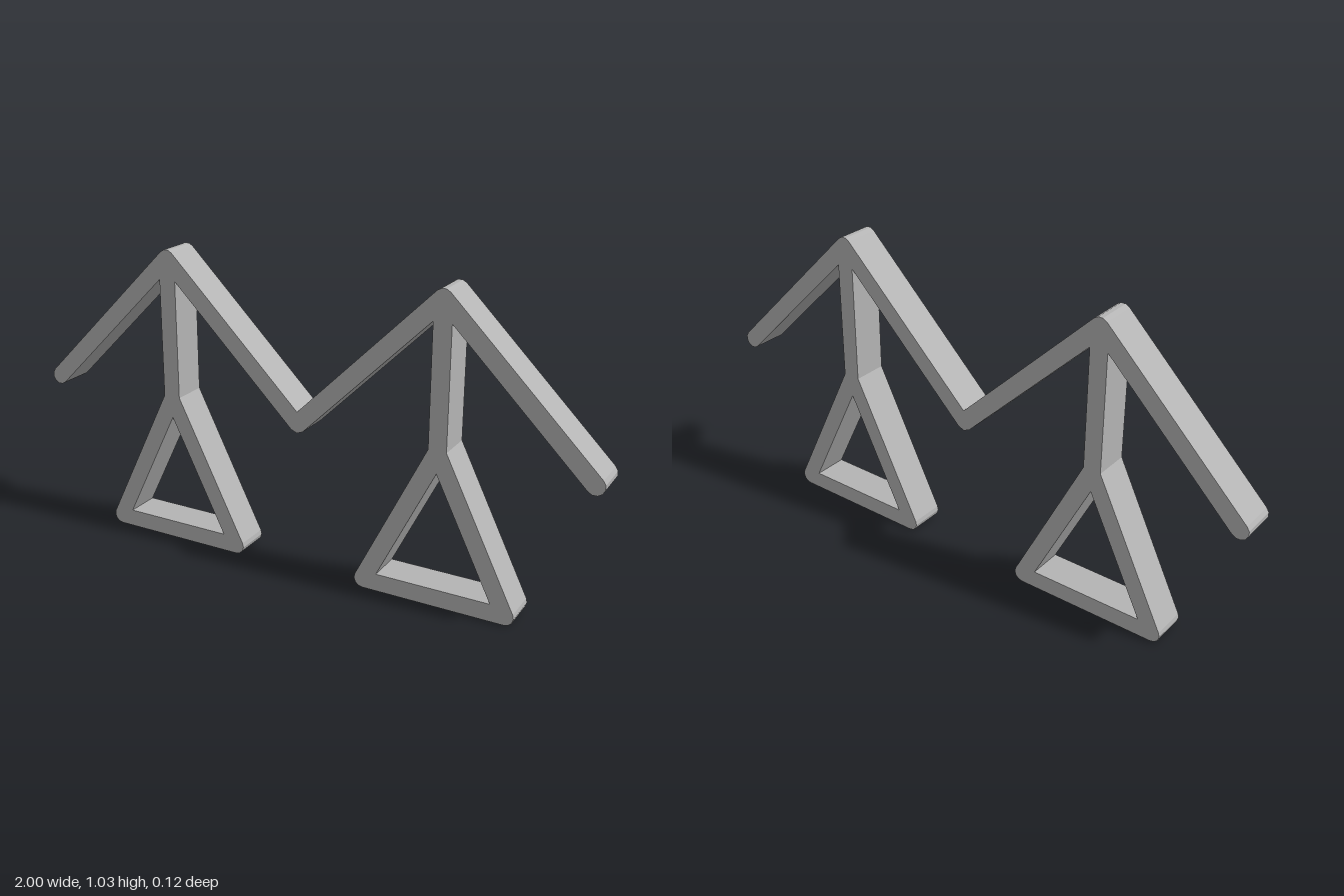
import * as THREE from 'three';

const R = 0.03;      // half width of every bar, also the rounding radius
const DEPTH = 0.12;
const PEAK = { x: 0.485, y: 1.0 };
const LOW = 0.52;    // height of valley, bar ends and triangle apexes
const FOOT = { half: 0.243, y: 0.03 };

// Clockwise arc of radius R as points
function arc(cx, cy, from, to) {
  const n = Math.max(1, Math.round((from - to) / (Math.PI / 6)));
  return Array.from({ length: n + 1 }, (_, i) => {
    const a = from + ((to - from) * i) / n;
    return new THREE.Vector2(cx + R * Math.cos(a), cy + R * Math.sin(a));
  });
}

const mirror = (pts) => pts.map((p) => new THREE.Vector2(-p.x, p.y)).reverse();

export function createModel() {
  const grey = new THREE.MeshStandardMaterial({ color: 0xb4b4b4 });
  grey.name = 'plain grey';

  const P = (x, y) => new THREE.Vector2(x, y);
  const H = Math.PI / 2;
  const roof = Math.atan2(PEAK.y - LOW, PEAK.x);              // roof pitch
  const side = Math.atan2(FOOT.half, LOW - FOOT.y);           // normal of triangle sides
  const armpit = PEAK.y - R * Math.tan(roof) - R / Math.cos(roof);
  const tipOffset = R / Math.sin(side);
  const fork = LOW + tipOffset - R / Math.tan(side);
  const { x } = PEAK;

  // Outline of the +x half, from the valley's top round to its underside
  const half = [
    P(0, LOW + R / Math.cos(roof)),
    ...arc(x, PEAK.y, H + roof, H - roof),
    ...arc(2 * x, LOW, H - roof, -H - roof),
    P(x + R, armpit),
    P(x + R, fork),
    ...arc(x + FOOT.half, FOOT.y, side, -H),
    ...arc(x - FOOT.half, FOOT.y, -H, -Math.PI - side),
    P(x - R, fork),
    P(x - R, armpit),
    ...arc(0, LOW, roof - H, -H),
  ];
  // Drop the points shared on the centre line
  const outline = new THREE.Shape([...half, ...mirror(half).slice(1, -1)]);

  // Triangular openings in the two feet
  const top = LOW - tipOffset;
  const floor = FOOT.y + R;
  const w = (top - floor) * Math.tan(side);
  for (const s of [-1, 1]) {
    outline.holes.push(new THREE.Path([
      P(s * x, top), P(s * x - w, floor), P(s * x + w, floor),
    ]));
  }

  const geometry = new THREE.ExtrudeGeometry(outline, { depth: DEPTH, bevelEnabled: false });
  geometry.translate(0, 0, -DEPTH / 2);

  const frame = new THREE.Mesh(geometry, grey);
  frame.name = 'zigzagFrame';
  const model = new THREE.Group();
  model.name = 'doublePeakStand';
  model.add(frame);
  return model;
}
